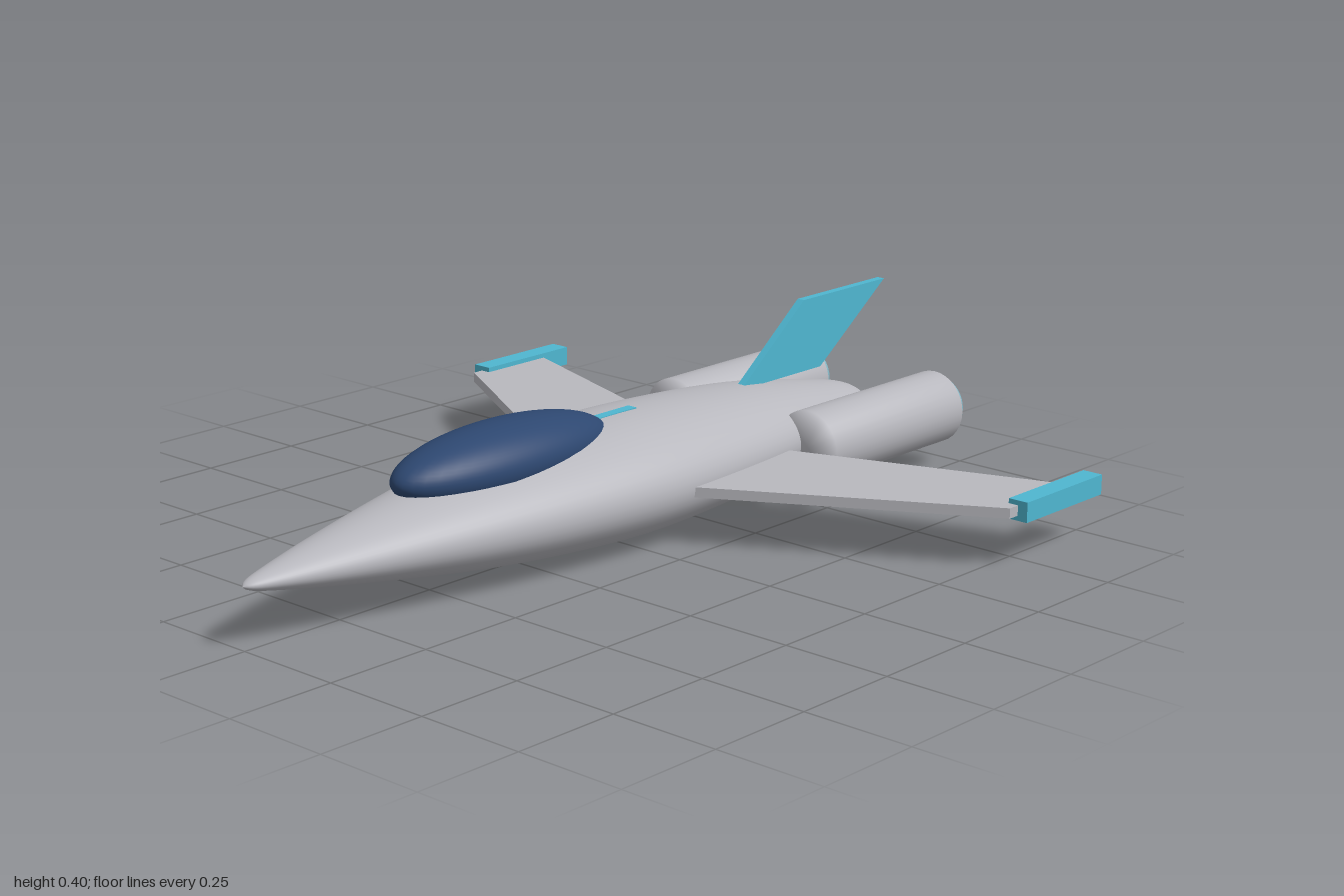
import * as THREE from 'three';

const mat = (name, color, side = THREE.FrontSide) => {
  const m = new THREE.MeshStandardMaterial({ color, side });
  m.name = name;
  return m;
};

export function createModel() {
  const group = new THREE.Group();
  const hull = mat('hull grey', 0xb8b8be);
  const trim = mat('trim cyan', 0x4fb6d0);
  const glass = mat('canopy navy', 0x2d4770, THREE.DoubleSide);
  const glow = mat('exhaust pale blue', 0x82b4c2);

  const add = (name, geometry, material, x = 0, y = 0, z = 0) => {
    const mesh = new THREE.Mesh(geometry, material);
    mesh.name = name;
    mesh.position.set(x, y, z);
    group.add(mesh);
    return mesh;
  };
  const points = (list) => list.map(([a, b]) => new THREE.Vector2(a, b));
  // Body of revolution along z, from [radius, z] pairs running back to front
  const turned = (profile, segments) => new THREE.LatheGeometry(profile, segments).rotateX(Math.PI / 2);
  const plate = (outline, depth) =>
    new THREE.ExtrudeGeometry(new THREE.Shape(points(outline)), { depth, bevelEnabled: false })
      .translate(0, 0, -depth / 2);

  // Fuselage: smooth spindle, flattened in height
  const spine = new THREE.SplineCurve(points([
    [0, -0.908], [0.045, -0.892], [0.082, -0.84], [0.113, -0.75], [0.15, -0.63], [0.185, -0.47],
    [0.21, -0.25], [0.22, -0.02], [0.2, 0.22], [0.168, 0.42], [0.125, 0.61], [0.076, 0.8],
    [0.034, 0.94], [0.016, 0.985], [0, 1],
  ]));
  const profile = spine.getPoints(56);
  profile.forEach((p) => { p.x = Math.max(0, p.x); });
  add('fuselage', turned(profile, 48).scale(1, 0.604, 1), hull, 0, 0.133, 0);

  // Canopy: long dome, cut just below its widest line
  const dome = new THREE.SphereGeometry(1, 40, 20, 0, Math.PI * 2, 0, Math.PI * 0.58);
  add('canopy', dome.scale(0.11, 0.079, 0.305), glass, 0, 0.242, 0.285);

  // Narrow strip along the spine behind the canopy
  add('spineStrip', new THREE.BoxGeometry(0.024, 0.03, 0.2), trim, 0, 0.252, -0.022);

  // Swept tail fin, drawn in z and y
  const fin = plate([[-0.48, 0.234], [-0.765, 0.234], [-1, 0.405], [-0.7, 0.405]], 0.019);
  add('tailFin', fin.rotateY(-Math.PI / 2), trim);

  for (const [side, s] of [['left', 1], ['right', -1]]) {
    // Swept wing, drawn in x and z
    const wing = plate([[0.1 * s, -0.014], [0.8 * s, -0.423], [0.8 * s, -0.653], [0.1 * s, -0.405]], 0.023);
    add(side + 'Wing', wing.rotateX(Math.PI / 2), hull, 0, 0.125, 0);
    add(side + 'WingTip', new THREE.BoxGeometry(0.048, 0.045, 0.277), trim, 0.8 * s, 0.125, -0.59);

    // Engine with shading rounded over its ends
    const engine = points([[0, -0.955], [0.085, -0.955], [0.085, -0.487], [0, -0.487]]);
    add(side + 'Engine', turned(engine, 32), hull, 0.2 * s, 0.135, 0);
    const nozzle = new THREE.CylinderGeometry(0.068, 0.068, 0.05, 32).rotateX(Math.PI / 2);
    add(side + 'Exhaust', nozzle, glow, 0.2 * s, 0.135, -0.955);
  }
  return group;
}
